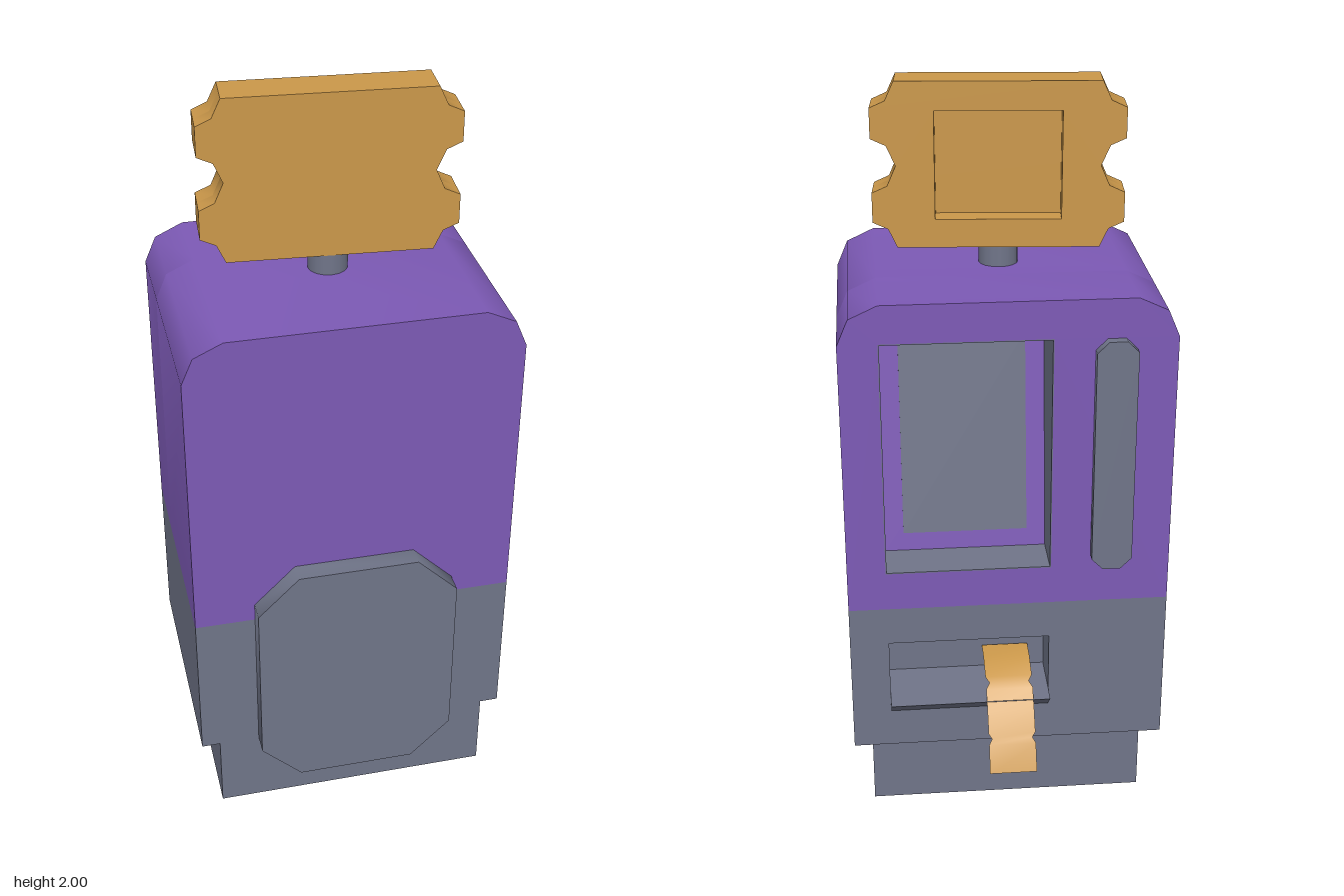
import * as THREE from 'three';
import { toCreasedNormals } from 'three/addons/utils/BufferGeometryUtils.js';

function material(name, color) {
  const m = new THREE.MeshStandardMaterial({ color });
  m.name = name;
  return m;
}

const shapeOf = (points) => new THREE.Shape(points.map(([x, y]) => new THREE.Vector2(x, y)));
const rect = (x0, x1, y0, y1) => [[x0, y0], [x1, y0], [x1, y1], [x0, y1]];
// Rectangle with cut corners
const chamfered = (x0, x1, y0, y1, c) => [
  [x0 + c, y0], [x1 - c, y0], [x1, y0 + c], [x1, y1 - c],
  [x1 - c, y1], [x0 + c, y1], [x0, y1 - c], [x0, y0 + c],
];

export function createModel() {
  const purple = material('purple paint', 0x7d5ab6);
  const grey = material('slate grey', 0x707589);
  const gold = material('ticket gold', 0xcb984a);
  const paper = material('paper gold', 0xcb984a);
  paper.side = THREE.DoubleSide;

  const model = new THREE.Group();
  model.name = 'ticketMachine';

  function add(name, geometry, mat, parent = model) {
    const mesh = new THREE.Mesh(geometry, mat);
    mesh.name = name;
    parent.add(mesh);
    return mesh;
  }

  // Extrude an outline in x, y between two depths, optionally pierced by a hole
  function slab(name, points, z0, z1, mat, hole, parent) {
    const shape = shapeOf(points);
    if (hole) shape.holes.push(shapeOf(hole));
    const geometry = new THREE.ExtrudeGeometry(shape, { depth: z1 - z0, bevelEnabled: false });
    geometry.translate(0, 0, z0);
    return add(name, toCreasedNormals(geometry, 0.9), mat, parent);
  }

  const BACK = -0.275, FRONT = 0.372;

  // Foot and lower cabinet with the ticket slot
  slab('base', rect(-0.38, 0.38, 0, 0.22), -0.22, FRONT, grey);
  const lower = rect(-0.43, 0.43, 0.22, 0.655);
  slab('lowerCabinetFront', lower, BACK + 0.13, FRONT, grey);
  slab('lowerCabinetBack', lower, BACK, BACK + 0.13, grey, rect(-0.11, 0.325, 0.38, 0.548));

  // Upper cabinet with rounded shoulders and the screen recess
  const upper = [
    [-0.43, 0.655], [0.43, 0.655], [0.43, 1.41], [0.4, 1.48], [0.325, 1.515],
    [-0.325, 1.515], [-0.4, 1.48], [-0.43, 1.41],
  ];
  const RECESS = -0.06, rim = 0.003;
  slab('upperCabinetFront', upper, RECESS, FRONT, purple);
  slab('upperCabinetBack', upper, BACK, RECESS, purple,
    rect(-0.11 - rim, 0.325 + rim, 0.765 - rim, 1.41 + rim));
  slab('recessLining', rect(-0.11 - rim, 0.325 + rim, 0.765 - rim, 1.41 + rim), BACK, RECESS, grey,
    rect(-0.11, 0.325, 0.765, 1.41));

  // Leaning screen inside the recess
  const display = new THREE.Group();
  display.name = 'display';
  display.position.set(0.1075, 1.0875, -0.108);
  display.rotation.x = Math.atan2(0.085, 0.645);
  model.add(display);
  add('screenFrame', new THREE.BoxGeometry(0.435, 0.65, 0.01).translate(0, 0, 0.005), purple, display);
  add('screen', new THREE.BoxGeometry(0.335, 0.55, 0.006), grey, display);

  // Raised panels
  slab('frontPanel', chamfered(-0.27, 0.27, 0.11, 0.815, 0.11), FRONT, 0.426, grey);
  slab('backBar', chamfered(-0.325, -0.218, 0.765, 1.41, 0.03), -0.302, BACK, grey);

  // Wedge lip below the slot: outline in z, y swept along x
  const lip = new THREE.ExtrudeGeometry(
    shapeOf([[0.275, 0.33], [0.33, 0.38], [0.275, 0.38]]), { depth: 0.435, bevelEnabled: false });
  lip.rotateY(Math.PI / 2).translate(-0.11, 0, 0);
  lip.applyMatrix4(new THREE.Matrix4().makeTranslation(0, 0, 0));
  // The sweep maps outline x to -z and depth to +x
  add('slotLip', lip, grey);

  // Issued ticket: a notched paper ribbon curling out of the slot, rows of [z, y, half width]
  const rows = [
    [-0.15, 0.45, 0.064], [-0.21, 0.447, 0.064], [-0.275, 0.425, 0.064], [-0.29, 0.416, 0.054],
    [-0.305, 0.405, 0.064], [-0.345, 0.36, 0.064], [-0.38, 0.31, 0.064], [-0.387, 0.298, 0.055],
    [-0.397, 0.285, 0.064], [-0.43, 0.215, 0.064],
  ];
  const positions = [], index = [];
  rows.forEach(([z, y, w], i) => {
    positions.push(-w, y, z, w, y, z);
    if (i) {
      const a = 2 * i - 2;
      index.push(a, a + 1, a + 3, a, a + 3, a + 2);
    }
  });
  const ribbon = new THREE.BufferGeometry();
  ribbon.setAttribute('position', new THREE.Float32BufferAttribute(positions, 3));
  ribbon.setIndex(index.reverse());
  add('issuedTicket', toCreasedNormals(ribbon, 0.3), paper);

  // Sign post
  add('signPost', new THREE.CylinderGeometry(0.052, 0.052, 0.09, 16).translate(0, 1.55, 0.05), grey);

  // Ticket-shaped sign, slightly turned, with a square recess in its back
  const sign = new THREE.Group();
  sign.name = 'ticketSign';
  sign.position.set(0, 1.785, 0.048);
  sign.rotation.y = -0.074;
  model.add(sign);
  const quarter = [
    [0.262, 0], [0.285, 0.052], [0.325, 0.07], [0.325, 0.148], [0.285, 0.166], [0.262, 0.215],
  ];
  const mirrorY = quarter.slice(1).reverse().map(([x, y]) => [x, -y]);
  const rightEdge = [...mirrorY, ...quarter];
  const outline = [...rightEdge, ...rightEdge.map(([x, y]) => [-x, y]).reverse()];
  slab('signFront', outline, 0.006, 0.054, gold, null, sign);
  slab('signBack', outline, -0.054, 0.006, gold, rect(-0.163, 0.163, -0.14, 0.14), sign);

  return model;
}
